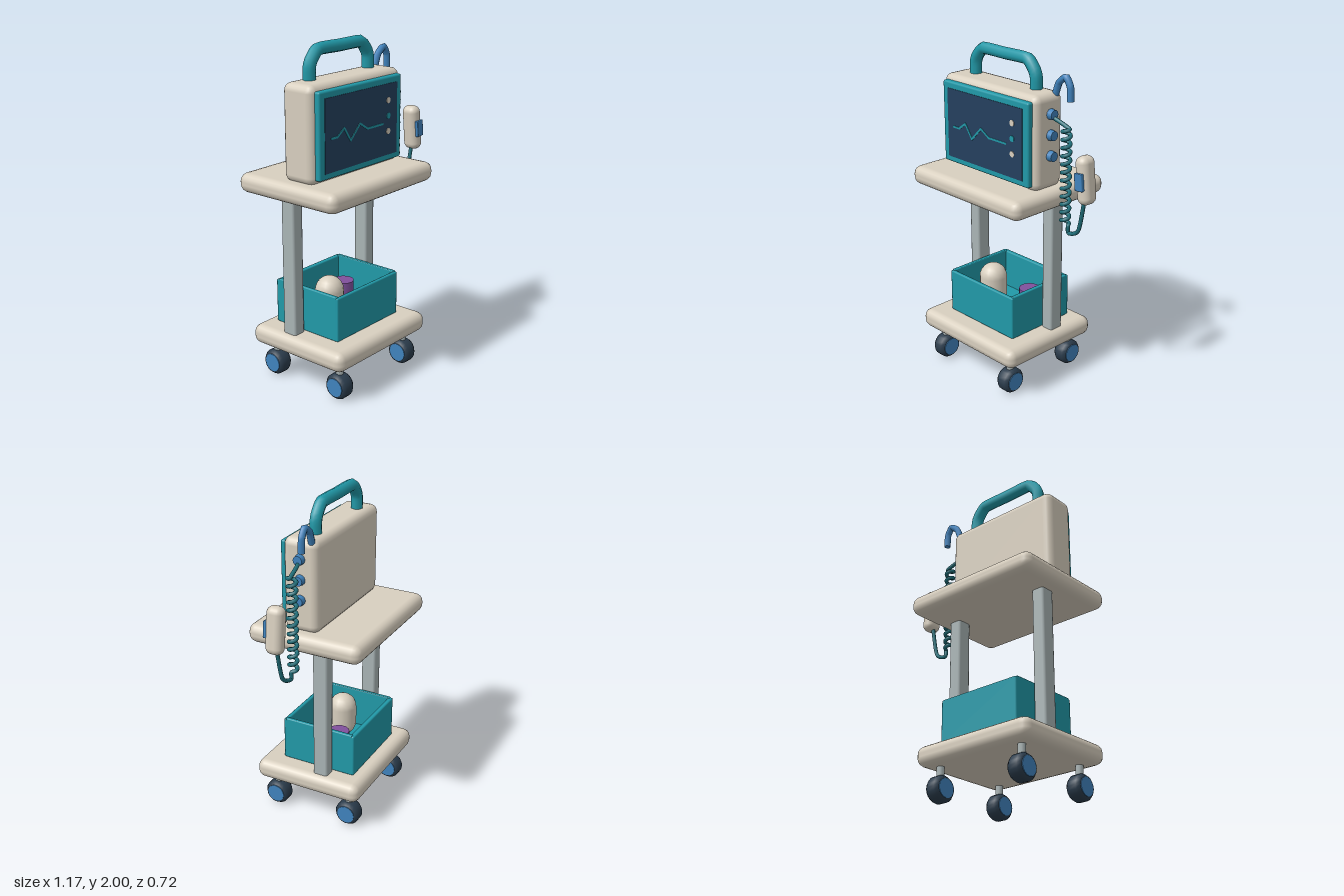
import * as THREE from 'three';
import { RoundedBoxGeometry } from 'three/addons/geometries/RoundedBoxGeometry.js';

const material = (name, color, side = THREE.FrontSide) => {
  const m = new THREE.MeshStandardMaterial({ color, side });
  m.name = name;
  return m;
};

export function createModel() {
  const model = new THREE.Group();
  model.name = 'medicalCart';

  const cream = material('cream', 0xd8cfbf);
  const teal = material('teal', 0x2199a8);
  const navy = material('screenNavy', 0x24405e);
  const tyreDark = material('tyreDark', 0x2b3c4c);
  const blue = material('blue', 0x4083bd);
  const steel = material('steel', 0xa9b4b5);
  const cableTeal = material('cableTeal', 0x1f6d78);
  const purple = material('purple', 0x80509c);

  const add = (name, geometry, mat, x = 0, y = 0, z = 0, parent = model) => {
    const mesh = new THREE.Mesh(geometry, mat);
    mesh.name = name;
    mesh.position.set(x, y, z);
    parent.add(mesh);
    return mesh;
  };
  // Rounded box given by its limits on each axis
  const slab = (name, mat, [x0, x1], [y0, y1], [z0, z1], radius, segments = 2) =>
    add(name, new RoundedBoxGeometry(x1 - x0, y1 - y0, z1 - z0, segments, radius), mat,
      (x0 + x1) / 2, (y0 + y1) / 2, (z0 + z1) / 2);
  // Capped tube through points
  const tube = (name, mat, points, radius, steps, tension = 0.25) => {
    const curve = new THREE.CatmullRomCurve3(
      points.map(p => new THREE.Vector3(...p)), false, 'catmullrom', tension);
    const mesh = add(name, new THREE.TubeGeometry(curve, steps, radius, 8), mat);
    for (const t of [0, 1]) {
      const cap = add(name + 'End', new THREE.CircleGeometry(radius, 8), mat, 0, 0, 0, mesh);
      const at = curve.getPointAt(t);
      cap.position.copy(at);
      cap.lookAt(at.clone().addScaledVector(curve.getTangentAt(t), t ? 1 : -1));
    }
    return mesh;
  };

  // Shelves and posts
  slab('topShelf', cream, [-0.59, 0.32], [1.15, 1.265], [-0.36, 0.357], 0.05);
  slab('bottomShelf', cream, [-0.54, 0.27], [0.205, 0.325], [-0.333, 0.357], 0.05);
  for (const x of [-0.455, 0.185])
    slab('post', steel, [x - 0.04, x + 0.04], [0.31, 1.16], [-0.113, -0.02], 0.013, 1);

  // Casters: stem, tyre and a hub showing on both sides
  const tyreProfile = [[0.05, -0.045], [0.063, -0.045], [0.077, -0.026],
    [0.077, 0.026], [0.063, 0.045], [0.05, 0.045]].map(p => new THREE.Vector2(...p));
  for (const x of [-0.427, 0.16]) for (const z of [0.257, -0.232]) {
    const caster = new THREE.Group();
    caster.name = 'caster';
    caster.position.set(x, 0.077, z);
    add('stem', new THREE.CylinderGeometry(0.023, 0.023, 0.11, 10), steel, 0, 0.09, 0, caster);
    const tyre = add('tyre', new THREE.LatheGeometry(tyreProfile, 20), tyreDark, 0, 0, 0, caster);
    const hub = add('hub', new THREE.CylinderGeometry(0.055, 0.055, 0.098, 16), blue, 0, 0, 0, caster);
    tyre.rotation.z = hub.rotation.z = Math.PI / 2;
    model.add(caster);
  }

  // Open storage bin
  slab('binFloor', teal, [-0.4, 0.14], [0.325, 0.35], [-0.23, 0.21], 0.004, 1);
  for (const [z0, z1] of [[0.2, 0.225], [-0.25, -0.22]])
    slab('binWall', teal, [-0.405, 0.145], [0.325, 0.592], [z0, z1], 0.008, 1);
  for (const [x0, x1] of [[-0.405, -0.38], [0.12, 0.145]])
    slab('binSide', teal, [x0, x1], [0.325, 0.597], [-0.235, 0.212], 0.006, 1);

  // Bin contents
  add('bottle', new THREE.CapsuleGeometry(0.085, 0.11, 6, 16), cream, -0.24, 0.49, 0.02);
  add('tapeRoll', new THREE.CylinderGeometry(0.065, 0.065, 0.16, 14), purple, -0.01, 0.43, -0.07);

  // Monitor housing, bezel and screen
  slab('monitorBody', cream, [-0.52, 0.255], [1.255, 1.807], [-0.07, 0.147], 0.045);
  slab('bezel', teal, [-0.488, 0.224], [1.285, 1.775], [0.13, 0.175], 0.012);
  add('screen', new THREE.BoxGeometry(0.626, 0.416, 0.006), navy, -0.132, 1.528, 0.175);

  // Pulse trace made of thin strips
  const trace = [[-0.395, 1.51], [-0.345, 1.51], [-0.29, 1.55], [-0.235, 1.47],
    [-0.155, 1.55], [-0.09, 1.51], [0.05, 1.51]];
  for (let i = 1; i < trace.length; i++) {
    const [[ax, ay], [bx, by]] = [trace[i - 1], trace[i]];
    const length = Math.hypot(bx - ax, by - ay) + 0.006;
    add('pulseTrace', new THREE.BoxGeometry(length, 0.012, 0.003), teal,
      (ax + bx) / 2, (ay + by) / 2, 0.179).rotation.z = Math.atan2(by - ay, bx - ax);
  }
  // Indicator lights
  [[1.64, cream], [1.55, teal], [1.46, cream]].forEach(([y, mat]) => {
    add('indicator', new THREE.CylinderGeometry(0.018, 0.018, 0.004, 10), mat,
      0.1, y, 0.179).rotation.x = Math.PI / 2;
  });

  // Side knobs
  for (const y of [1.695, 1.575, 1.455])
    add('knob', new THREE.CylinderGeometry(0.028, 0.033, 0.05, 12), blue,
      0.262, y, 0.034).rotation.z = -Math.PI / 2;

  // Carry handle and side hook
  tube('handle', teal, [[-0.38, 1.77, 0.01], [-0.38, 1.87, 0.01], [-0.365, 1.91, 0.01],
    [-0.31, 1.964, 0.01], [-0.13, 1.964, 0.01], [0.05, 1.964, 0.01], [0.104, 1.91, 0.01],
    [0.119, 1.87, 0.01], [0.119, 1.77, 0.01]], 0.036, 40);
  tube('hook', blue, [[0.225, 1.77, -0.027], [0.257, 1.86, -0.027], [0.31, 1.9, -0.027],
    [0.342, 1.85, -0.027], [0.346, 1.77, -0.027]], 0.02, 24);

  // Coiled cable from the top knob down to the probe
  const cable = [[0.27, 1.68, 0.034], [0.32, 1.662, 0.026]];
  const turns = 12;
  for (let i = 0; i <= turns * 6; i++) {
    const a = i / 6 * Math.PI * 2, t = i / (turns * 6);
    cable.push([0.366 + 0.023 * Math.cos(a), 1.635 - 0.565 * t, 0.022 + 0.023 * Math.sin(a)]);
  }
  cable.push([0.395, 1.028, 0.022], [0.475, 1.07, 0.03], [0.522, 1.27, 0.035]);
  tube('coiledCable', cableTeal, cable, 0.012, 420, 0.4);

  // Hand-held probe with its button
  const probe = new THREE.Group();
  probe.name = 'probe';
  probe.position.set(0.526, 1.383, 0.034);
  probe.rotation.z = 0.1;
  add('probeBody', new RoundedBoxGeometry(0.086, 0.275, 0.105, 3, 0.04), cream, 0, 0, 0, probe);
  add('probeButton', new RoundedBoxGeometry(0.054, 0.1, 0.025, 1, 0.005), blue, 0, 0, 0.053, probe);
  model.add(probe);

  return model;
}
